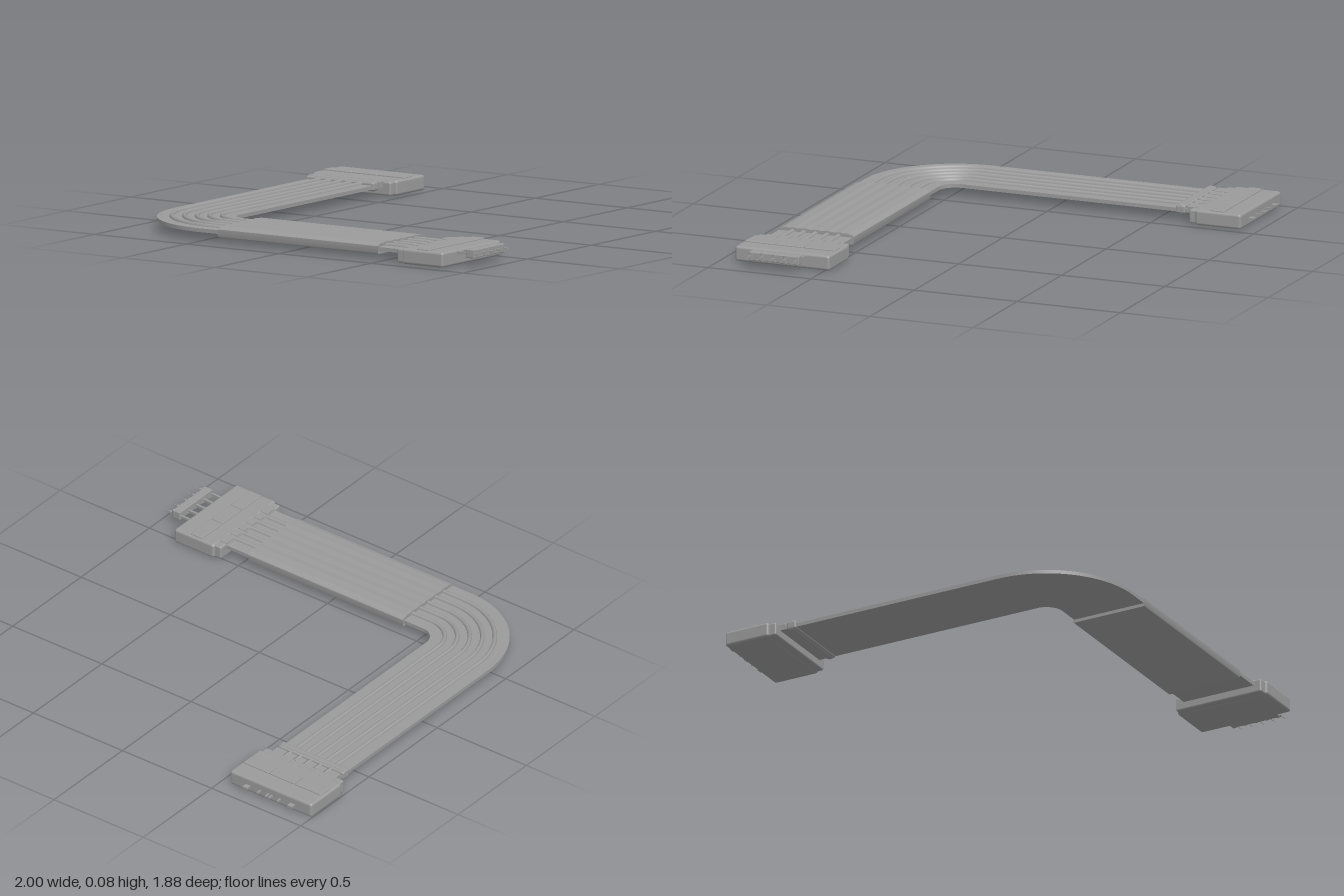
import * as THREE from 'three';
import { toCreasedNormals } from 'three/addons/utils/BufferGeometryUtils.js';
import { RoundedBoxGeometry } from 'three/addons/geometries/RoundedBoxGeometry.js';

const WIRES = [-2, -1, 0, 1, 2].map((i) => i * 0.056);
const HALF = 0.178;
const material = new THREE.MeshStandardMaterial({ color: 0x9a9a9a });

function add(parent, name, geometry) {
  const mesh = new THREE.Mesh(geometry, material);
  mesh.name = name;
  parent.add(mesh);
  return mesh;
}

// Box given by its limits on each axis, with optional rounded edges
function box(parent, name, [x0, x1], [y0, y1], [z0, z1], r = 0) {
  const s = [x1 - x0, y1 - y0, z1 - z0];
  const g = r ? new RoundedBoxGeometry(...s, 3, r) : new THREE.BoxGeometry(...s);
  add(parent, name, g).position.set((x0 + x1) / 2, (y0 + y1) / 2, (z0 + z1) / 2);
}

// Sweep a closed [offset, y] section along frames of position and outward normal
function sweep(section, frames) {
  const pos = [], index = [], n = section.length;
  frames.forEach(([x, z, nx, nz], i) => {
    section.forEach(([o, y], j) => {
      pos.push(x + nx * o, y, z + nz * o);
      if (i === 0) return;
      const a = (i - 1) * n + j, b = (i - 1) * n + (j + 1) % n;
      index.push(a, b, a + n, b, b + n, a + n);
    });
  });
  const g = new THREE.BufferGeometry();
  g.setAttribute('position', new THREE.Float32BufferAttribute(pos, 3));
  g.setIndex(index);
  return toCreasedNormals(g, 0.6);
}

// Flat ribbon with a round wire ridge for each conductor
function ribbon() {
  const section = [[-HALF, 0.043], [-HALF, 0.06]];
  for (const w of WIRES) {
    for (let k = 0; k <= 6; k++) {
      const a = Math.PI * (1 - k / 6);
      section.push([w + 0.01 * Math.cos(a), 0.06 + 0.012 * Math.sin(a)]);
    }
  }
  section.push([HALF, 0.06], [HALF, 0.043]);
  const frames = [[-0.77, -0.67, -1, 0]];
  for (let k = 0; k <= 28; k++) {
    const a = (k / 28) * Math.PI / 2, c = -Math.cos(a), s = Math.sin(a);
    frames.push([-0.51 + 0.26 * c, 0.449 + 0.26 * s, c, s]);
  }
  frames.push([0.6, 0.709, 0, 1]);
  return sweep(section, frames);
}

// Sleeve hugging the wires, gently rippled on top
function sleeve() {
  const s = new THREE.Shape();
  s.moveTo(-0.176, 0.028);
  s.lineTo(0.176, 0.028);
  s.quadraticCurveTo(0.183, 0.029, 0.183, 0.038);
  s.lineTo(0.183, 0.064);
  for (let k = 0; k <= 60; k++) {
    const z = 0.178 - 0.356 * k / 60;
    const edge = Math.min(1, (HALF - Math.abs(z)) / 0.03);
    s.lineTo(z, 0.069 + edge * (0.008 + 0.0012 * Math.cos(z / 0.056 * Math.PI * 2)));
  }
  s.lineTo(-0.183, 0.064);
  s.lineTo(-0.183, 0.038);
  s.quadraticCurveTo(-0.183, 0.029, -0.176, 0.028);
  const g = new THREE.ExtrudeGeometry(s, { depth: 0.867, bevelEnabled: false, curveSegments: 4 });
  g.rotateY(Math.PI / 2);
  return toCreasedNormals(g, 0.6);
}

// Plug housing: cable enters at x = 0, contacts face +x
function connector(name, fingerStart) {
  const c = new THREE.Group();
  c.name = name;
  box(c, 'housing', [0.033, 0.255], [0.004, 0.073], [-0.229, 0.229], 0.012);
  box(c, 'neck', [0, 0.05], [0.007, 0.069], [-0.218, 0.218], 0.008);
  // Raised grip pads across the top
  for (const [z0, z1] of [[-0.218, -0.069], [-0.066, 0.072], [0.075, 0.218]]) {
    box(c, 'gripPad', [0.106, 0.17], [0.06, 0.079], [z0, z1], 0.004);
  }
  // Strain relief fingers between the wires
  const edges = [-HALF, ...WIRES, HALF];
  for (let i = 0; i < edges.length - 1; i++) {
    const z0 = edges[i] + (i ? 0.01 : 0), z1 = edges[i + 1] - (i < 5 ? 0.01 : 0);
    box(c, 'reliefFinger', [fingerStart, 0.05], [0.05, 0.073], [z0, z1], 0.003);
  }
  return c;
}

export function createModel() {
  const model = new THREE.Group();
  model.name = 'ribbonCable';
  add(model, 'ribbon', ribbon());
  add(model, 'sleeve', sleeve()).position.set(-0.405, 0, 0.707);

  // Plug with exposed contacts held by a cross bar
  const plug = connector('pinConnector', 0.002);
  plug.position.set(0.59, 0, 0.707);
  for (const z of WIRES) {
    box(plug, 'pin', [0.24, 0.37], [0.055, 0.065], [z - 0.005, z + 0.005]);
    box(plug, 'pinTip', [0.36, 0.41], [0.0595, 0.0615], [z - 0.001, z + 0.001]);
    box(plug, 'pinCollar', [0.305, 0.35], [0.041, 0.081], [z - 0.008, z + 0.008], 0.003);
  }
  box(plug, 'pinBar', [0.307, 0.348], [0.042, 0.08], [-0.121, 0.121], 0.004);
  model.add(plug);

  // Plug with short contact stubs
  const socket = connector('stubConnector', -0.028);
  socket.position.set(-0.77, 0, -0.665);
  socket.rotation.y = Math.PI / 2;
  for (const [z, w] of [[-0.125, 0.013], [-0.056, 0.004], [-0.01, 0.004], [0.01, 0.004], [0.056, 0.004], [0.125, 0.013]]) {
    box(socket, 'contactStub', [0.24, 0.28], [0.03, 0.039], [z - w, z + w]);
  }
  model.add(socket);

  // Clip clamping the ribbon next to the stub connector
  box(model, 'clip', [-0.955, -0.588], [0.036, 0.074], [-0.629, -0.583], 0.008);
  box(model, 'clipRidge', [-0.952, -0.591], [0.033, 0.078], [-0.618, -0.594], 0.005);
  return model;
}
